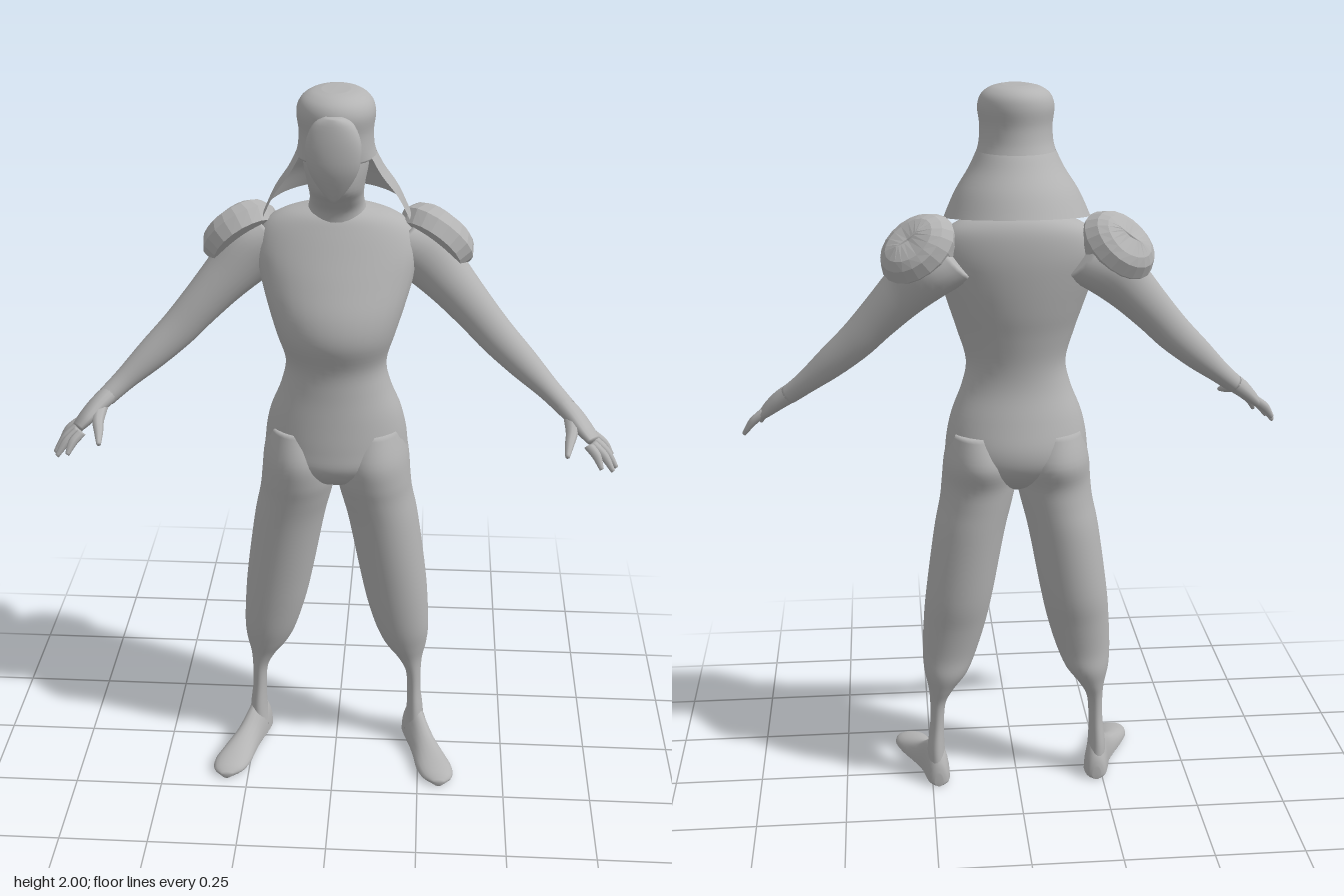
import * as THREE from 'three';

const grey = new THREE.MeshStandardMaterial({ color: 0xb4b4b4, side: THREE.DoubleSide });

// Smoothly resample a list of number rows with a Catmull-Rom rule
function smoothRows(rows, steps) {
  const out = [], at = (i) => rows[Math.min(Math.max(i, 0), rows.length - 1)];
  for (let i = 0; i < rows.length - 1; i++) {
    for (let k = 0; k < steps; k++) {
      const t = k / steps, a = at(i - 1), b = at(i), c = at(i + 1), d = at(i + 2);
      out.push(b.map((v, j) => 0.5 * (2 * v + (c[j] - a[j]) * t
        + (2 * a[j] - 5 * v + 4 * c[j] - d[j]) * t * t
        + (3 * v - a[j] - 3 * c[j] + d[j]) * t * t * t)));
    }
  }
  out.push(rows[rows.length - 1]);
  return out;
}

// Skin closed rings and cap both ends; faces are turned outward by signed volume
function skin(name, rings, flat = false) {
  const n = rings[0].length, pos = rings.flat(), idx = [];
  for (let i = 0; i < rings.length - 1; i++) {
    for (let j = 0; j < n; j++) {
      const a = i * n + j, b = i * n + (j + 1) % n;
      idx.push(a, b, a + n, b, b + n, a + n);
    }
  }
  const mid = (ring) => ring.reduce((s, p) => s.add(p), new THREE.Vector3()).divideScalar(n);
  const c0 = pos.push(mid(rings[0])) - 1, c1 = pos.push(mid(rings[rings.length - 1])) - 1;
  const last = (rings.length - 1) * n;
  for (let j = 0; j < n; j++) {
    const k = (j + 1) % n;
    idx.push(c0, k, j, c1, last + j, last + k);
  }
  let volume = 0;
  for (let i = 0; i < idx.length; i += 3) {
    volume += pos[idx[i]].dot(pos[idx[i + 1]].clone().cross(pos[idx[i + 2]]));
  }
  if (volume < 0) idx.reverse();
  let g = new THREE.BufferGeometry().setFromPoints(pos);
  g.setIndex(idx);
  if (flat) g = g.toNonIndexed();
  g.computeVertexNormals();
  const mesh = new THREE.Mesh(g, grey);
  mesh.name = name;
  return mesh;
}

const angles = (n) => Array.from({ length: n }, (_, i) => (i / n) * Math.PI * 2);

// Upright form: rows are [y, xMin, xMax, zBack, zFront]
function upright(name, rows, side = 1, steps = 5, n = 32) {
  return skin(name, smoothRows(rows, steps).map(([y, x0, x1, z0, z1]) => angles(n).map((a) =>
    new THREE.Vector3(side * ((x0 + x1) / 2 + (x1 - x0) / 2 * Math.cos(a)), y,
      (z0 + z1) / 2 + (z1 - z0) / 2 * Math.sin(a)))));
}

// Limb: rows are [x, y, z, depthRadius, heightRadius]
function limb(name, rows, side, n = 16) {
  const a = rows[0], b = rows[rows.length - 1];
  const dir = new THREE.Vector3(b[0] - a[0], b[1] - a[1], b[2] - a[2]).normalize();
  const ref = Math.abs(dir.z) > 0.8 ? new THREE.Vector3(1, 0, 0) : new THREE.Vector3(0, 0, 1);
  const u = ref.addScaledVector(dir, -ref.dot(dir)).normalize();
  const v = dir.clone().cross(u);
  return skin(name, smoothRows(rows, 5).map(([x, y, z, ru, rv]) => angles(n).map((t) => {
    const p = new THREE.Vector3(x, y, z).addScaledVector(u, ru * Math.cos(t)).addScaledVector(v, rv * Math.sin(t));
    p.x *= side;
    return p;
  })));
}

// Symmetric rows from [y, halfWidth, zBack, zFront]
const even = (rows) => rows.map(([y, h, b, f]) => [y, -h, h, b, f]);

function foot(side) {
  // [z, centre x, half width, height]
  const rows = [[-0.085, 0.232, 0.012, 0.04], [-0.075, 0.232, 0.028, 0.075], [-0.04, 0.235, 0.036, 0.12],
    [0.0, 0.245, 0.036, 0.115], [0.05, 0.265, 0.04, 0.078], [0.1, 0.285, 0.048, 0.056],
    [0.15, 0.3, 0.053, 0.042], [0.19, 0.308, 0.042, 0.032], [0.212, 0.312, 0.015, 0.018]];
  return skin('foot', smoothRows(rows, 4).map(([z, x, w, h]) => angles(20).map((a) => {
    const s = Math.sin(a);
    return new THREE.Vector3(side * (x + w * Math.cos(a)), s > 0 ? 0.014 + (h - 0.014) * s : 0.014 * (1 + s), z);
  })));
}

function hand(side) {
  const g = new THREE.Group();
  g.name = 'hand';
  g.add(limb('palm', [[0.605, 1.178, 0.05, 0.03, 0.026], [0.64, 1.15, 0.078, 0.04, 0.024],
    [0.67, 1.122, 0.105, 0.046, 0.02], [0.692, 1.1, 0.122, 0.04, 0.014]], side));
  const fingers = [[0.675, 1.1, 0.15, 0.71, 1.05, 0.188], [0.685, 1.1, 0.135, 0.743, 1.035, 0.168],
    [0.69, 1.102, 0.112, 0.755, 1.03, 0.135], [0.69, 1.106, 0.09, 0.745, 1.05, 0.1]];
  for (const [x, y, z, X, Y, Z] of fingers) {
    g.add(limb('finger', [[x, y, z, 0.013, 0.013], [(x + X) / 2 + 0.004, (y + Y) / 2 + 0.004, (z + Z) / 2, 0.012, 0.012],
      [X, Y, Z, 0.006, 0.006]], side, 8));
  }
  g.add(limb('thumb', [[0.632, 1.15, 0.085, 0.022, 0.02], [0.63, 1.13, 0.14, 0.016, 0.015],
    [0.622, 1.115, 0.18, 0.012, 0.012], [0.615, 1.1, 0.22, 0.006, 0.006]], side, 8));
  return g;
}

// Shoulder pad: bevelled oval drum with a ridge across its face
function shoulderPad(side) {
  const n = new THREE.Vector3(0.5, 0.6, -0.62).normalize();
  const a = new THREE.Vector3(0.75, -0.62, 0.1);
  a.addScaledVector(n, -a.dot(n)).normalize();
  const b = n.clone().cross(a);
  const centre = new THREE.Vector3(0.258, 1.588, -0.077);
  // [height along the axis, long radius, short radius, ridge rise]
  const rows = [[-0.03, 0.098, 0.082, 0], [0.01, 0.112, 0.09, 0], [0.042, 0.095, 0.075, 0],
    [0.054, 0.072, 0.054, 0.004], [0.06, 0.035, 0.003, 0.006]];
  return skin('shoulderPad', rows.map(([h, ra, rb, rise]) => angles(20).map((t) => {
    const p = centre.clone().addScaledVector(n, h + rise * Math.abs(Math.cos(t)))
      .addScaledVector(a, ra * Math.cos(t)).addScaledVector(b, rb * Math.sin(t));
    p.x *= side;
    return p;
  })), true);
}

// Cloth hanging from the hood round the back and sides, open at the front
function drape() {
  const rows = smoothRows([[1.835, 0.103, -0.012, 0.112, 2.05], [1.79, 0.125, -0.015, 0.135, 1.93],
    [1.73, 0.163, -0.024, 0.168, 1.8], [1.665, 0.192, -0.03, 0.195, 1.72]], 4);
  const m = 40, pos = [], idx = [];
  rows.forEach(([y, w, zc, d, span], i) => {
    for (let j = 0; j <= m; j++) {
      const t = (j / m * 2 - 1) * span;
      pos.push(w * Math.sin(t), y + 0.025 * Math.cos(t) * i / (rows.length - 1), zc - d * Math.cos(t));
      if (i && j) {
        const k = i * (m + 1) + j, p = k - m - 1;
        idx.push(p - 1, p, k - 1, p, k, k - 1);
      }
    }
  });
  const g = new THREE.BufferGeometry();
  g.setAttribute('position', new THREE.Float32BufferAttribute(pos, 3));
  g.setIndex(idx);
  g.computeVertexNormals();
  const mesh = new THREE.Mesh(g, grey);
  mesh.name = 'hoodDrape';
  return mesh;
}

export function createModel() {
  const model = new THREE.Group();
  model.name = 'figure';

  // Body and head
  model.add(upright('torso', even([[1.685, 0.07, -0.11, -0.01], [1.665, 0.145, -0.135, 0.015], [1.63, 0.195, -0.15, 0.035],
    [1.57, 0.215, -0.155, 0.065], [1.5, 0.203, -0.15, 0.1], [1.42, 0.18, -0.138, 0.135], [1.35, 0.158, -0.122, 0.142],
    [1.27, 0.136, -0.108, 0.115], [1.2, 0.149, -0.11, 0.113], [1.12, 0.18, -0.132, 0.12], [1.04, 0.195, -0.152, 0.128],
    [0.98, 0.19, -0.14, 0.128], [0.93, 0.12, -0.09, 0.09], [0.9, 0.03, -0.03, 0.03]])));
  model.add(upright('head', even([[1.62, 0.1, -0.13, 0.02], [1.68, 0.076, -0.12, 0.025], [1.72, 0.07, -0.11, 0.06],
    [1.76, 0.074, -0.105, 0.1], [1.83, 0.085, -0.1, 0.108], [1.92, 0.08, -0.09, 0.1]])));

  // Headdress
  model.add(upright('hood', even([[2.0, 0.035, -0.05, 0.055], [1.993, 0.066, -0.085, 0.085], [1.975, 0.09, -0.107, 0.11],
    [1.945, 0.1, -0.114, 0.12], [1.9, 0.095, -0.11, 0.112], [1.86, 0.097, -0.115, 0.108], [1.83, 0.104, -0.125, 0.1]])));
  model.add(drape());
  model.add(upright('faceMask', even([[1.958, 0.02, 0.09, 0.138], [1.94, 0.05, 0.085, 0.145], [1.89, 0.069, 0.085, 0.151],
    [1.83, 0.064, 0.085, 0.149], [1.78, 0.04, 0.085, 0.133], [1.74, 0.008, 0.095, 0.113]]), 1, 3, 20));

  // Mirrored limbs
  for (const side of [1, -1]) {
    model.add(upright('leg', [[1.08, 0.03, 0.18, -0.125, 0.1], [1.0, 0.0, 0.2, -0.153, 0.13], [0.93, 0.0, 0.207, -0.133, 0.126],
      [0.87, 0.012, 0.214, -0.13, 0.113], [0.78, 0.034, 0.232, -0.13, 0.097], [0.6, 0.068, 0.257, -0.12, 0.075],
      [0.5, 0.09, 0.266, -0.102, 0.063], [0.41, 0.117, 0.27, -0.09, 0.05], [0.35, 0.143, 0.266, -0.091, 0.035],
      [0.3, 0.18, 0.256, -0.078, 0.02], [0.25, 0.206, 0.252, -0.063, 0.012], [0.18, 0.213, 0.253, -0.061, 0.01],
      [0.1, 0.212, 0.262, -0.073, 0.018], [0.04, 0.205, 0.262, -0.078, 0.02]], side));
    model.add(foot(side));
    model.add(limb('arm', [[0.16, 1.575, -0.075, 0.07, 0.08], [0.23, 1.545, -0.075, 0.075, 0.085], [0.3, 1.475, -0.055, 0.062, 0.068],
      [0.37, 1.4, -0.035, 0.052, 0.057], [0.43, 1.335, -0.018, 0.046, 0.051], [0.5, 1.27, 0.005, 0.041, 0.043],
      [0.57, 1.208, 0.032, 0.034, 0.031], [0.62, 1.165, 0.06, 0.032, 0.026]], side, 24));
    model.add(hand(side));
    model.add(shoulderPad(side));
  }
  return model;
}
